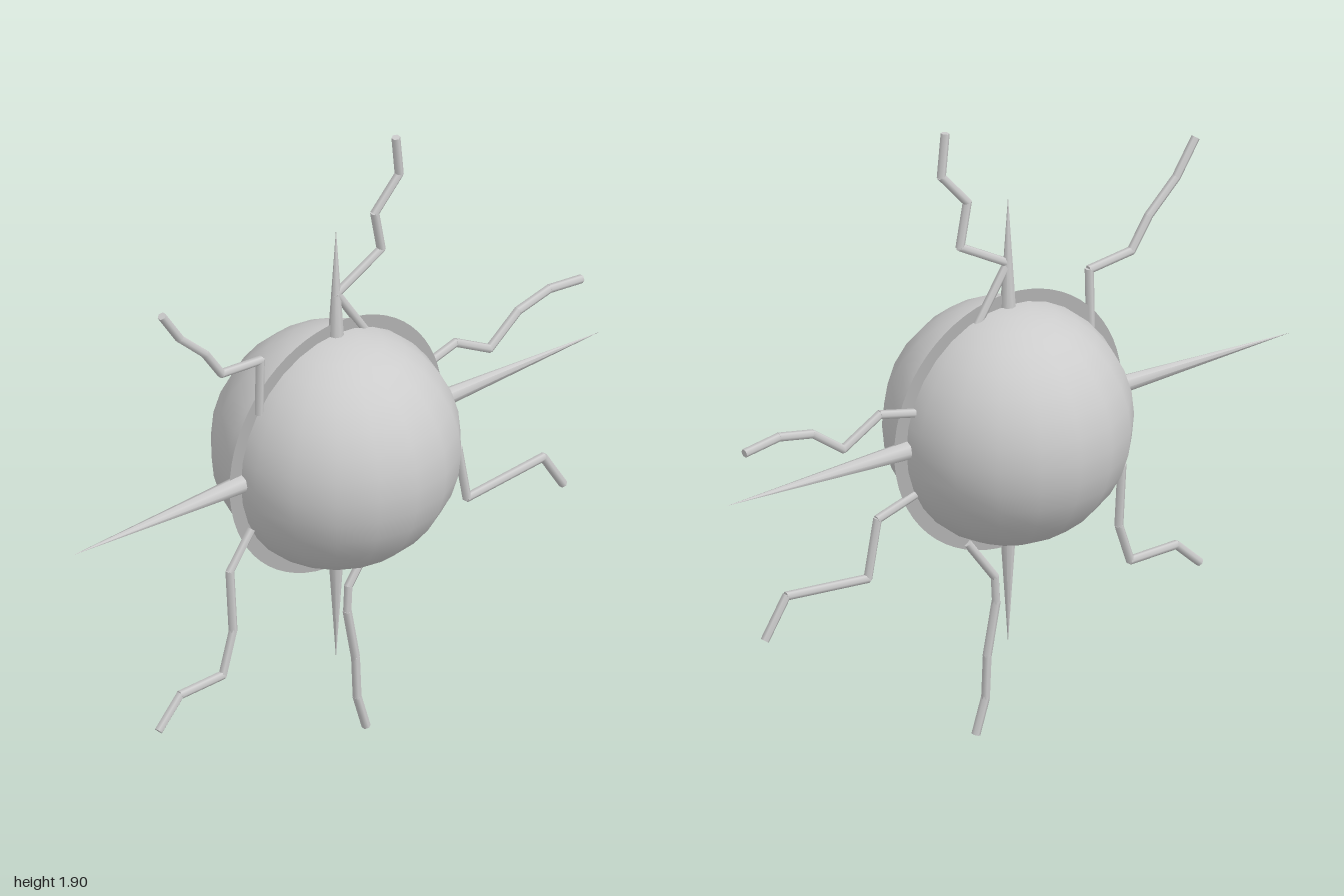
import * as THREE from 'three';

const CY = 0.96;

export function createModel() {
  const model = new THREE.Group();
  const grey = new THREE.MeshStandardMaterial({ color: 0xcccccc });
  grey.name = 'light grey';
  const ringGrey = new THREE.MeshStandardMaterial({ color: 0xb0b0b0, side: THREE.DoubleSide });
  ringGrey.name = 'ring grey';

  const add = (name, geometry, material = grey) => {
    const mesh = new THREE.Mesh(geometry, material);
    mesh.name = name;
    model.add(mesh);
    return mesh;
  };

  // central ball
  const core = add('core', new THREE.SphereGeometry(0.358, 18, 16));
  core.position.y = CY;
  core.rotation.y = Math.PI / 2;

  // flat halo around the ball
  add('halo', new THREE.RingGeometry(0.33, 0.395, 64), ringGrey).position.y = CY;

  // four tapering spikes: direction, tip distance, base radius
  const spikes = [
    ['rightSpike', -1, 0, 0.98, 0.03], ['leftSpike', 1, 0, 0.98, 0.03],
    ['topSpike', 0, 1, 0.70, 0.026], ['bottomSpike', 0, -1, 0.70, 0.026],
  ];
  for (const [name, dx, dy, tip, radius] of spikes) {
    const base = 0.3;
    const spike = add(name, new THREE.ConeGeometry(radius, tip - base, 8));
    const mid = (tip + base) / 2;
    spike.position.set(dx * mid, CY + dy * mid, 0);
    spike.quaternion.setFromUnitVectors(new THREE.Vector3(0, 1, 0), new THREE.Vector3(dx, dy, 0));
  }

  // jagged bolts: start z, end z, then [x, y] corners
  const bolts = {
    topBolt: [-0.005, 0.03, [[0.11, 1.29], [0, 1.45], [0.16, 1.54], [0.13, 1.67], [0.215, 1.77], [0.197, 1.895]]],
    upperRightBolt: [0.005, 0.035, [[-0.29, 1.17], [-0.29, 1.345], [-0.44, 1.36], [-0.505, 1.45], [-0.605, 1.54], [-0.675, 1.64]]],
    upperLeftBolt: [-0.015, -0.038, [[0.34, 1.08], [0.46, 1.11], [0.59, 1.04], [0.70, 1.12], [0.82, 1.145], [0.94, 1.13]]],
    lowerRightBolt: [0.005, 0.045, [[-0.32, 0.80], [-0.405, 0.70], [-0.40, 0.51], [-0.445, 0.385], [-0.61, 0.385], [-0.695, 0.305]]],
    lowerLeftBolt: [0, -0.01, [[0.32, 0.815], [0.455, 0.775], [0.49, 0.60], [0.775, 0.625], [0.85, 0.51]]],
    bottomBolt: [0, 0.005, [[0.14, 0.61], [0.045, 0.48], [0.04, 0.40], [0.07, 0.24], [0.075, 0.11], [0.107, 0.005]]],
  };
  for (const [name, [z0, z1, corners]] of Object.entries(bolts)) {
    const points = corners.map(([x, y], i) =>
      new THREE.Vector3(x, y, z0 + (z1 - z0) * i / (corners.length - 1)));
    const bolt = new THREE.Group();
    bolt.name = name;
    for (let i = 1; i < points.length; i++) {
      const dir = points[i].clone().sub(points[i - 1]);
      const segment = new THREE.Mesh(new THREE.CylinderGeometry(0.013, 0.013, dir.length() + 0.006, 6), grey);
      segment.name = 'boltSegment';
      segment.position.copy(points[i]).add(points[i - 1]).multiplyScalar(0.5);
      segment.quaternion.setFromUnitVectors(new THREE.Vector3(0, 1, 0), dir.normalize());
      bolt.add(segment);
    }
    model.add(bolt);
  }

  return model;
}
